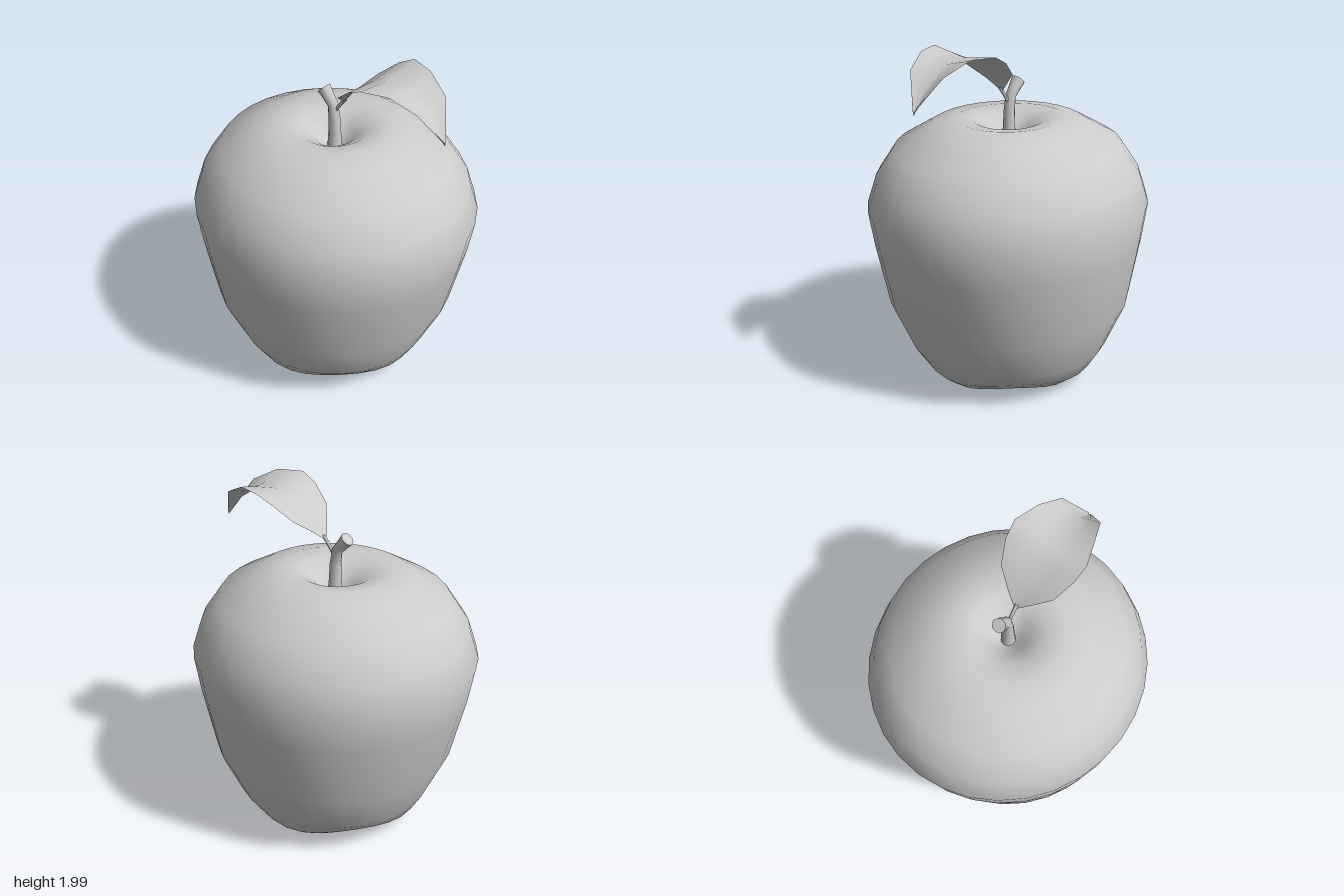
import * as THREE from 'three';
import { mergeVertices } from 'three/addons/utils/BufferGeometryUtils.js';

const material = new THREE.MeshStandardMaterial({ color: 0xcccccc });
const leafMaterial = new THREE.MeshStandardMaterial({ color: 0xcccccc, side: THREE.DoubleSide });

function part(name, geometry, mat = material) {
  const mesh = new THREE.Mesh(geometry, mat);
  mesh.name = name;
  return mesh;
}

// Drop seams so that the normals run smoothly all round
function smooth(geometry) {
  geometry.deleteAttribute('uv');
  geometry.deleteAttribute('normal');
  const merged = mergeVertices(geometry, 1e-4);
  merged.computeVertexNormals();
  return merged;
}

// Fruit: a lathed profile, slightly flattened front to back, with a lobed base
function fruitGeometry() {
  const profile = [
    [0, 0.17], [0.09, 0.16], [0.18, 0.11], [0.27, 0.04], [0.36, 0.005], [0.46, 0.03],
    [0.54, 0.1], [0.605, 0.22], [0.715, 0.48], [0.8, 0.87], [0.833, 1.08], [0.775, 1.25],
    [0.665, 1.41], [0.455, 1.53], [0.31, 1.57], [0.2, 1.55], [0.12, 1.5], [0.06, 1.43], [0, 1.4],
  ].map(([r, y]) => new THREE.Vector2(r, y));
  const geometry = new THREE.LatheGeometry(profile, 32);
  const pos = geometry.attributes.position;
  for (let i = 0; i < pos.count; i++) {
    const x = pos.getX(i), y = pos.getY(i), z = pos.getZ(i);
    const r = Math.hypot(x, z), a = Math.atan2(x, z);
    // Raised notches between the four lobes of the base
    if (y < 0.15 && r > 0.2) {
      pos.setY(i, y + 0.022 * (1 - Math.cos(4 * a)));
    }
    // Small dip in the rim of the hollow on the left-hand front
    if (y > 1.45 && r > 0.1 && r < 0.4) {
      pos.setY(i, y - 0.018 * Math.max(0, Math.cos(a + 0.5)));
    }
    pos.setZ(i, z * (1 - 0.055 * THREE.MathUtils.smoothstep(y, 0.3, 1.1)));
  }
  return smooth(geometry);
}

// Stem: rings swept along a bent centre line, flaring to a cut end
function stemGeometry() {
  const rings = [ // x, y, radius, tilt
    [0, 1.38, 0.045, 0], [-0.002, 1.5, 0.036, 0], [-0.004, 1.6, 0.032, 0.12],
    [-0.015, 1.68, 0.03, 0.4], [-0.05, 1.725, 0.034, 0.65], [-0.08, 1.762, 0.04, 0.75],
  ];
  const sides = 10, points = [], index = [];
  rings.forEach(([x, y, r, tilt], k) => {
    for (let j = 0; j < sides; j++) {
      const a = (j / sides) * Math.PI * 2, u = r * Math.cos(a);
      points.push(x + u * Math.cos(tilt), y + u * Math.sin(tilt), r * Math.sin(a));
      if (k > 0) {
        const n = (j + 1) % sides, lo = (k - 1) * sides, hi = k * sides;
        index.push(lo + j, hi + j, lo + n, lo + n, hi + j, hi + n);
      }
    }
  });
  // Flat cap with its own vertices for a sharp edge
  const top = (rings.length - 1) * sides, cap = points.length / 3;
  points.push(...points.slice(top * 3));
  for (let j = 1; j < sides - 1; j++) index.push(cap, cap + j + 1, cap + j);
  const geometry = new THREE.BufferGeometry();
  geometry.setAttribute('position', new THREE.Float32BufferAttribute(points, 3));
  geometry.setIndex(index);
  geometry.computeVertexNormals();
  return geometry;
}

// Leaf blade: arched cross-sections with a sunken midrib and raised edges
function leafGeometry() {
  const stations = [ // x, midrib y, half width, edge lift
    [0.06, 1.73, 0.01, 0], [0.1, 1.785, 0.08, 0.01], [0.16, 1.85, 0.165, 0.015],
    [0.26, 1.93, 0.208, 0.02], [0.35, 1.964, 0.22, 0.034], [0.49, 1.953, 0.172, 0.046],
    [0.625, 1.86, 0.12, 0.07], [0.725, 1.735, 0.006, 0.02],
  ];
  const across = 4, points = [], index = [];
  stations.forEach(([x, y, w, lift], k) => {
    for (let j = 0; j <= across; j++) {
      const t = (j / across) * 2 - 1;
      points.push(x, y + lift * Math.abs(t), w * t);
      if (k > 0 && j < across) {
        const lo = (k - 1) * (across + 1) + j, hi = lo + across + 1;
        index.push(lo, lo + 1, hi, hi, lo + 1, hi + 1);
      }
    }
  });
  const geometry = new THREE.BufferGeometry();
  geometry.setAttribute('position', new THREE.Float32BufferAttribute(points, 3));
  geometry.setIndex(index);
  geometry.computeVertexNormals();
  return geometry;
}

export function createModel() {
  const model = new THREE.Group();
  model.name = 'apple';
  model.add(part('fruit', fruitGeometry()));
  model.add(part('stem', stemGeometry()));

  // Leaf stalk from the stem to the blade
  const stalkPath = new THREE.CatmullRomCurve3([
    new THREE.Vector3(0, 1.64, 0), new THREE.Vector3(0.03, 1.69, 0), new THREE.Vector3(0.075, 1.75, 0),
  ]);
  const leaf = new THREE.Group();
  leaf.name = 'leaf';
  leaf.add(part('leafStalk', new THREE.TubeGeometry(stalkPath, 4, 0.01, 6, false), leafMaterial));
  leaf.add(part('leafBlade', leafGeometry(), leafMaterial));
  model.add(leaf);
  return model;
}
